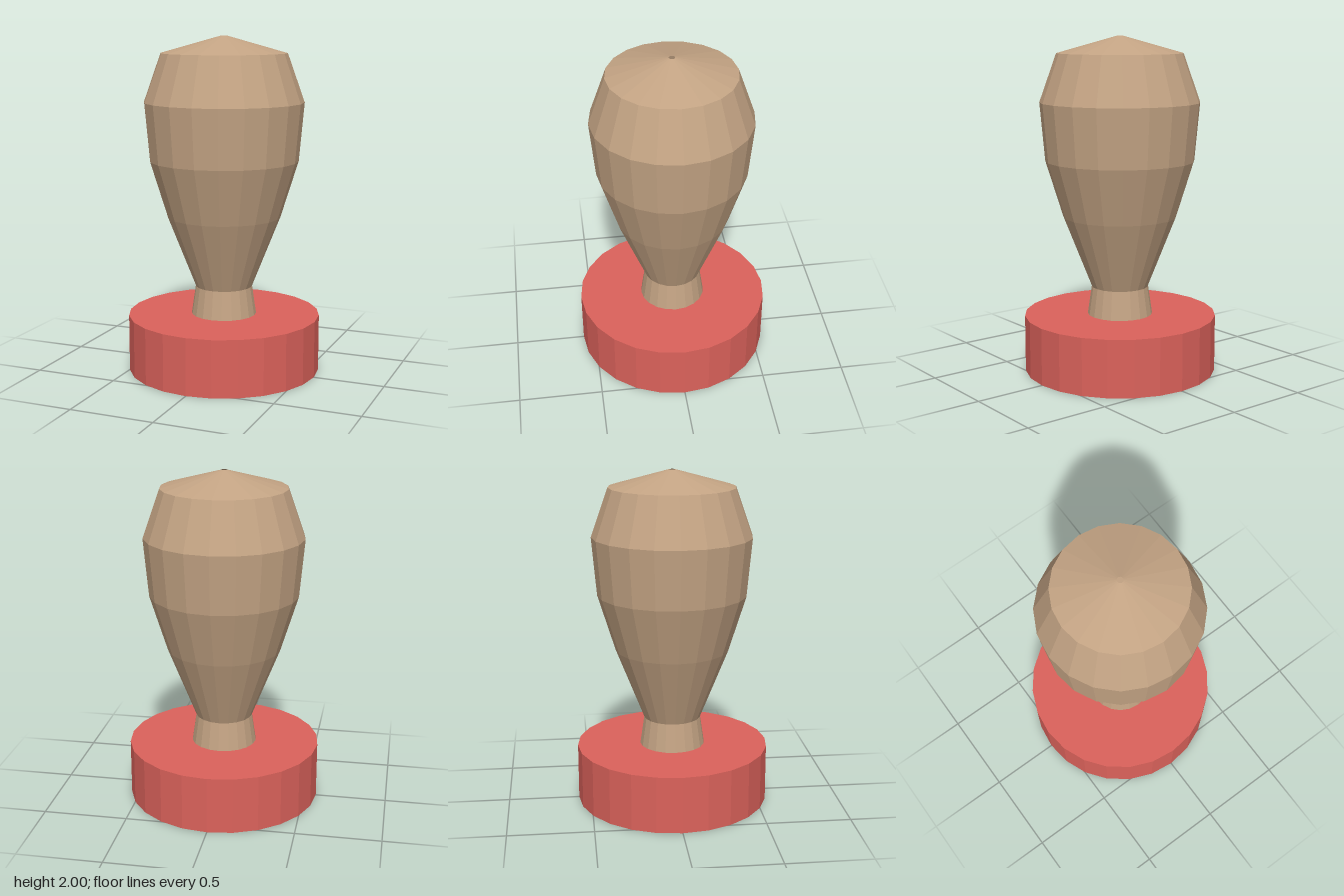
import * as THREE from 'three';

export function createModel() {
  const group = new THREE.Group();
  const red = new THREE.MeshStandardMaterial({ color: 0xdb625b, flatShading: true });
  red.name = 'red base';
  const wood = new THREE.MeshStandardMaterial({ color: 0xc4a484, flatShading: true, side: THREE.DoubleSide });
  wood.name = 'tan wood';

  // Round base disc
  const base = new THREE.Mesh(new THREE.CylinderGeometry(0.575, 0.575, 0.34, 24), red);
  base.name = 'base';
  base.position.y = 0.17;
  group.add(base);

  // Turned handle: flared neck, bulb and shallow cone top with a tiny open hole
  const profile = [
    [0.195, 0.34], [0.17, 0.51], [0.338, 0.935], [0.442, 1.27],
    [0.473, 1.615], [0.372, 1.9], [0.018, 2.0],
  ].map(([r, y]) => new THREE.Vector2(r, y));
  const handle = new THREE.Mesh(new THREE.LatheGeometry(profile, 20), wood);
  handle.name = 'handle';
  group.add(handle);

  return group;
}
